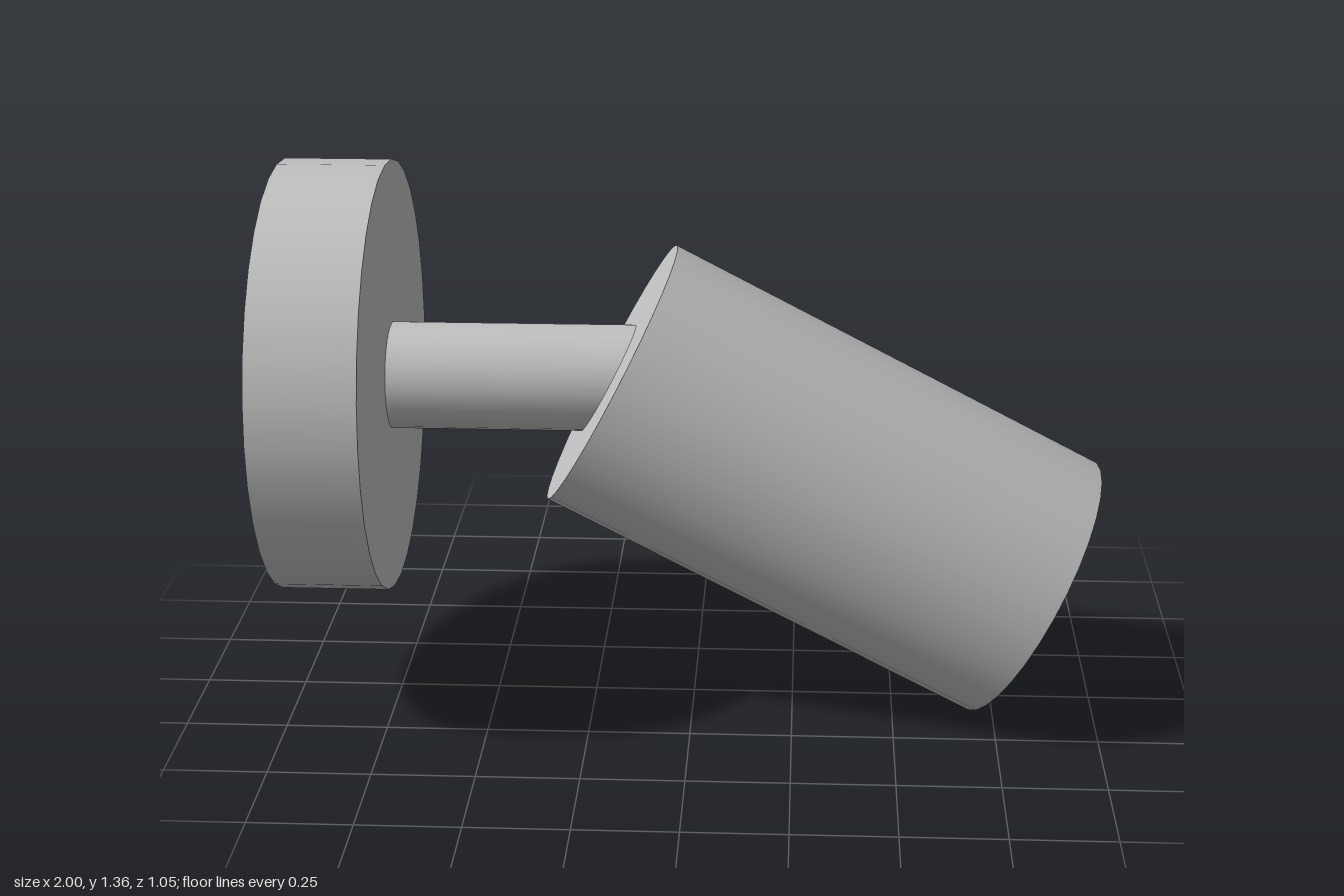
import * as THREE from 'three';
import { mergeGeometries } from 'three/addons/utils/BufferGeometryUtils.js';

const metal = new THREE.MeshStandardMaterial({ color: 0xc0c0c0 });
metal.name = 'satin grey metal';
const cream = new THREE.MeshStandardMaterial({ color: 0xdad0b8 });
cream.name = 'warm cream glass';

const SEGMENTS = 32;

// Turned solid whose profile corners stay sharp: one lathe per straight run
function turned(profile) {
  const runs = [];
  for (let i = 0; i < profile.length - 1; i++) {
    const pair = [profile[i], profile[i + 1]].map(([r, y]) => new THREE.Vector2(r, y));
    runs.push(new THREE.LatheGeometry(pair, SEGMENTS));
  }
  return mergeGeometries(runs);
}

function part(name, geometry, material) {
  const mesh = new THREE.Mesh(geometry, material);
  mesh.name = name;
  return mesh;
}

// Cylinder lying along x between two positions
function rod(name, radius, x0, x1, y) {
  const mesh = part(name, new THREE.CylinderGeometry(radius, radius, x1 - x0, SEGMENTS), metal);
  mesh.rotation.z = -Math.PI / 2;
  mesh.position.set((x0 + x1) / 2, y, 0);
  return mesh;
}

export function createModel() {
  const model = new THREE.Group();
  model.name = 'wallSpotlight';

  // Wall plate and arm
  const armY = 0.842;
  model.add(rod('wallPlate', 0.527, -1, -0.74, armY));
  model.add(rod('arm', 0.131, -0.74, -0.08, armY));

  // Tilted head, built along its own y axis with the opening at the top
  const radius = 0.348, length = 1.174, rim = 0.305, lensRadius = 0.275;
  const recess = 0.032, bulge = 0.034;
  const head = new THREE.Group();
  head.name = 'lampHead';
  head.add(part('housing', turned([[0, 0], [radius, 0], [radius, length], [rim, length]]), metal));
  head.add(part('lensBezel', turned([[rim, length], [lensRadius, length - recess]]), cream));

  // Gently domed lens
  const dome = [];
  for (let i = 0; i <= 8; i++) {
    const t = 1 - i / 8;
    dome.push(new THREE.Vector2(lensRadius * t, length - recess + bulge * (1 - t * t)));
  }
  head.add(part('lens', new THREE.LatheGeometry(dome, SEGMENTS), cream));

  head.position.set(-0.2025, 0.8575, 0);
  head.rotation.z = -Math.PI / 2 - Math.atan2(0.545, 1.04);
  model.add(head);

  return model;
}
